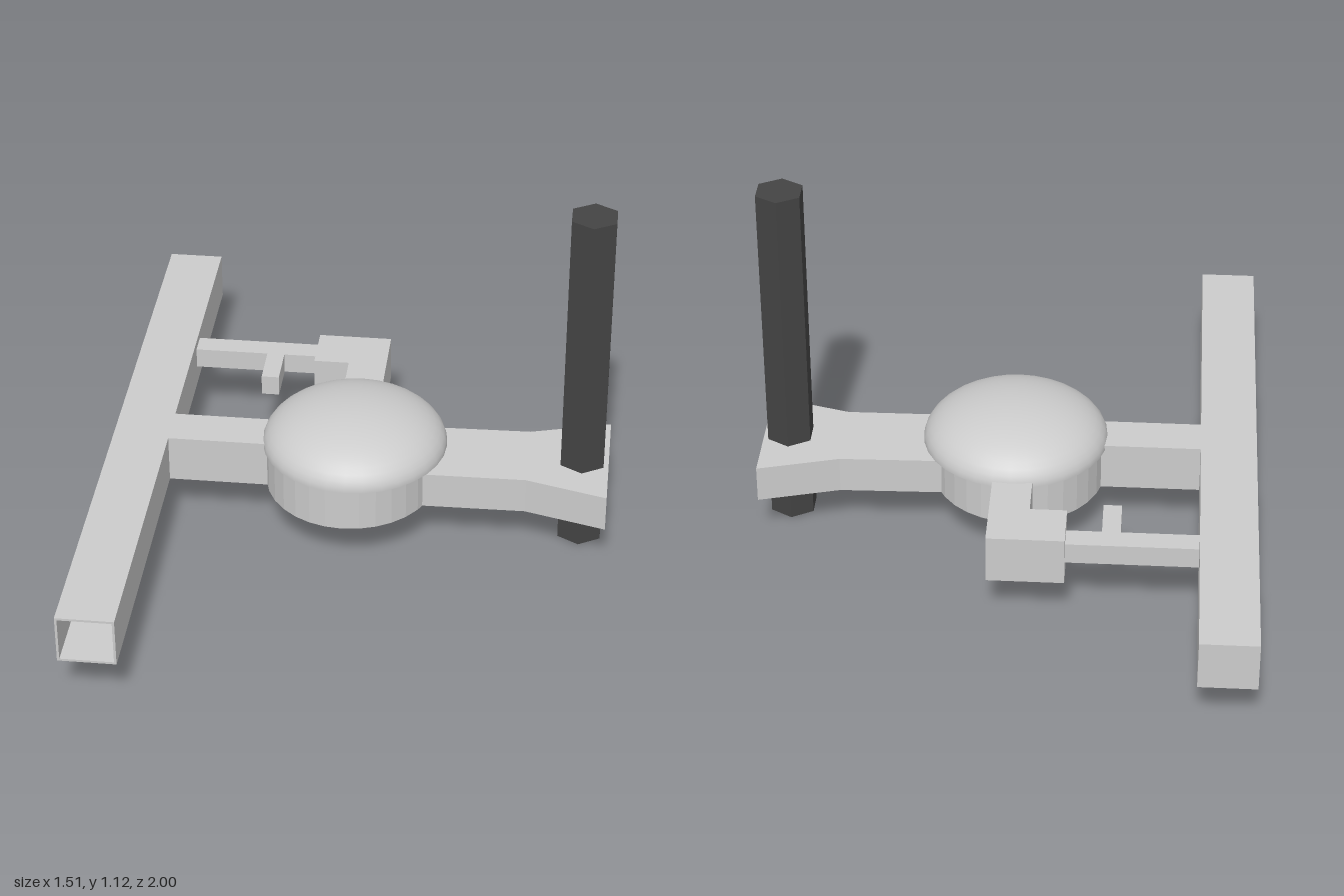
import * as THREE from 'three';

export function createModel() {
  const model = new THREE.Group();
  const grey = new THREE.MeshStandardMaterial({ color: 0xcccccc, flatShading: true });
  const smooth = new THREE.MeshStandardMaterial({ color: 0xcccccc });
  const dark = new THREE.MeshStandardMaterial({ color: 0x444444, flatShading: true });

  const add = (name, geometry, material = grey) => {
    const mesh = new THREE.Mesh(geometry, material);
    mesh.name = name;
    model.add(mesh);
    return mesh;
  };

  // Box given by its limits on each axis
  const box = (name, x0, x1, y0, y1, z0, z1) =>
    add(name, new THREE.BoxGeometry(x1 - x0, y1 - y0, z1 - z0))
      .position.set((x0 + x1) / 2, (y0 + y1) / 2, (z0 + z1) / 2);

  // Slab from an outline of [x, z] points
  const slab = (name, points, y0, y1) => {
    const shape = new THREE.Shape(points.map(([x, z]) => new THREE.Vector2(x, -z)));
    const g = new THREE.ExtrudeGeometry(shape, { depth: y1 - y0, bevelEnabled: false });
    g.rotateX(-Math.PI / 2);
    add(name, g).position.y = y0;
  };

  // Long hollow bar, open at the front and closed at the back
  const rect = (Type, x0, x1, y0, y1) => new Type([
    new THREE.Vector2(x0, y0), new THREE.Vector2(x1, y0),
    new THREE.Vector2(x1, y1), new THREE.Vector2(x0, y1),
  ]);
  const tube = rect(THREE.Shape, -0.755, -0.585, 0.15, 0.3);
  tube.holes.push(rect(THREE.Path, -0.748, -0.592, 0.157, 0.293));
  add('barrel', new THREE.ExtrudeGeometry(tube, { depth: 1.99, bevelEnabled: false }))
    .position.z = -0.99;
  box('barrelEnd', -0.755, -0.585, 0.15, 0.3, -1, -0.99);

  // Arm joining the bar to the drum
  box('barrelArm', -0.585, -0.2, 0.15, 0.3, -0.045, 0.09);

  // Drum and its overhanging domed lid
  const drum = add('drum', new THREE.CylinderGeometry(0.262, 0.262, 0.14, 32));
  drum.position.set(-0.03, 0.22, 0.02);
  drum.scale.z = 1.04;

  const lid = add('domeLid', new THREE.SphereGeometry(0.282, 32, 12, 0, Math.PI * 2, 0, Math.PI / 2), smooth);
  lid.scale.y = 0.13 / 0.282;
  lid.position.set(-0.02, 0.285, 0.017);
  const rim = add('lidUnderside', new THREE.CircleGeometry(0.282, 32));
  rim.rotation.x = Math.PI / 2;
  rim.position.copy(lid.position);

  // Flared arm that carries the upright post
  slab('flaredArm', [
    [0.1, -0.105], [0.51, -0.115], [0.755, -0.183],
    [0.755, 0.213], [0.51, 0.145], [0.1, 0.15],
  ], 0.15, 0.265);

  // Six-sided upright post
  add('post', new THREE.CylinderGeometry(0.075, 0.075, 1.115, 6), dark)
    .position.set(0.675, 0.5575, 0.017);

  // Bent bracket behind the drum
  slab('bracket', [
    [-0.195, -0.545], [0.035, -0.545], [0.035, -0.15],
    [-0.085, -0.15], [-0.085, -0.39], [-0.195, -0.39],
  ], 0.15, 0.3);

  // Thin rod from bracket to bar, with a small lever
  box('rod', -0.585, -0.195, 0.21, 0.275, -0.525, -0.455);
  box('lever', -0.355, -0.3, 0.21, 0.275, -0.455, -0.32);

  return model;
}
